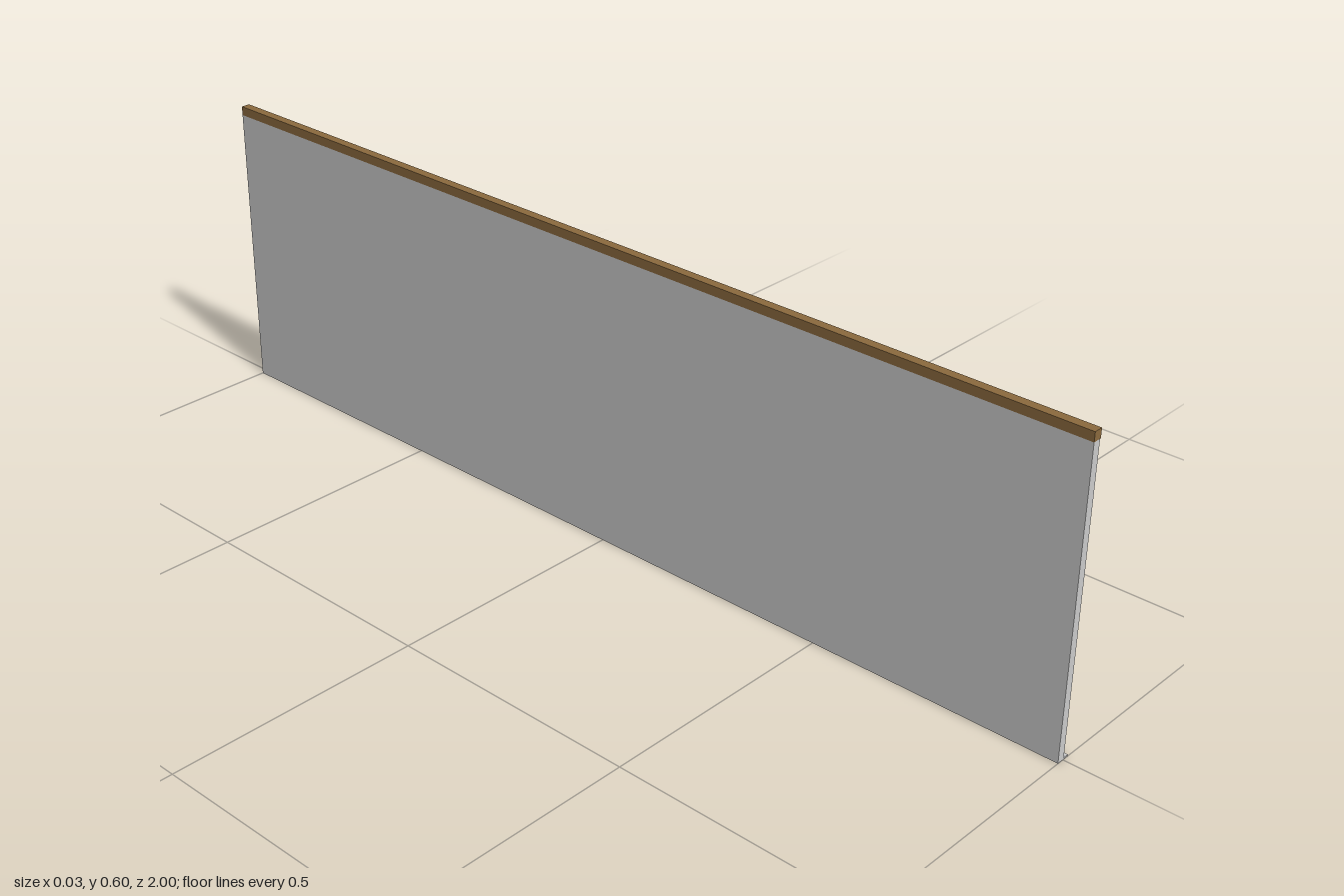
import * as THREE from 'three';

const LENGTH = 2;
const BACK = -0.014; // shared flush face of panel and rail

// Box running the full length, given by its x and y limits
function strip(name, x0, x1, y0, y1, color) {
  const mesh = new THREE.Mesh(
    new THREE.BoxGeometry(x1 - x0, y1 - y0, LENGTH),
    new THREE.MeshStandardMaterial({ color })
  );
  mesh.position.set((x0 + x1) / 2, (y0 + y1) / 2, 0);
  mesh.name = name;
  return mesh;
}

export function createModel() {
  const group = new THREE.Group();
  group.name = 'lowPartition';

  // Tall thin panel
  group.add(strip('panel', BACK, 0.002, 0, 0.582, 0xcccccc));
  // Wooden rail capping the panel, overhanging slightly on one side
  group.add(strip('topRail', BACK, 0.004, 0.582, 0.6, 0x8b6a3e));
  // Thin foot flange along the floor
  group.add(strip('footFlange', 0.002, 0.014, 0, 0.003, 0xcccccc));

  return group;
}
